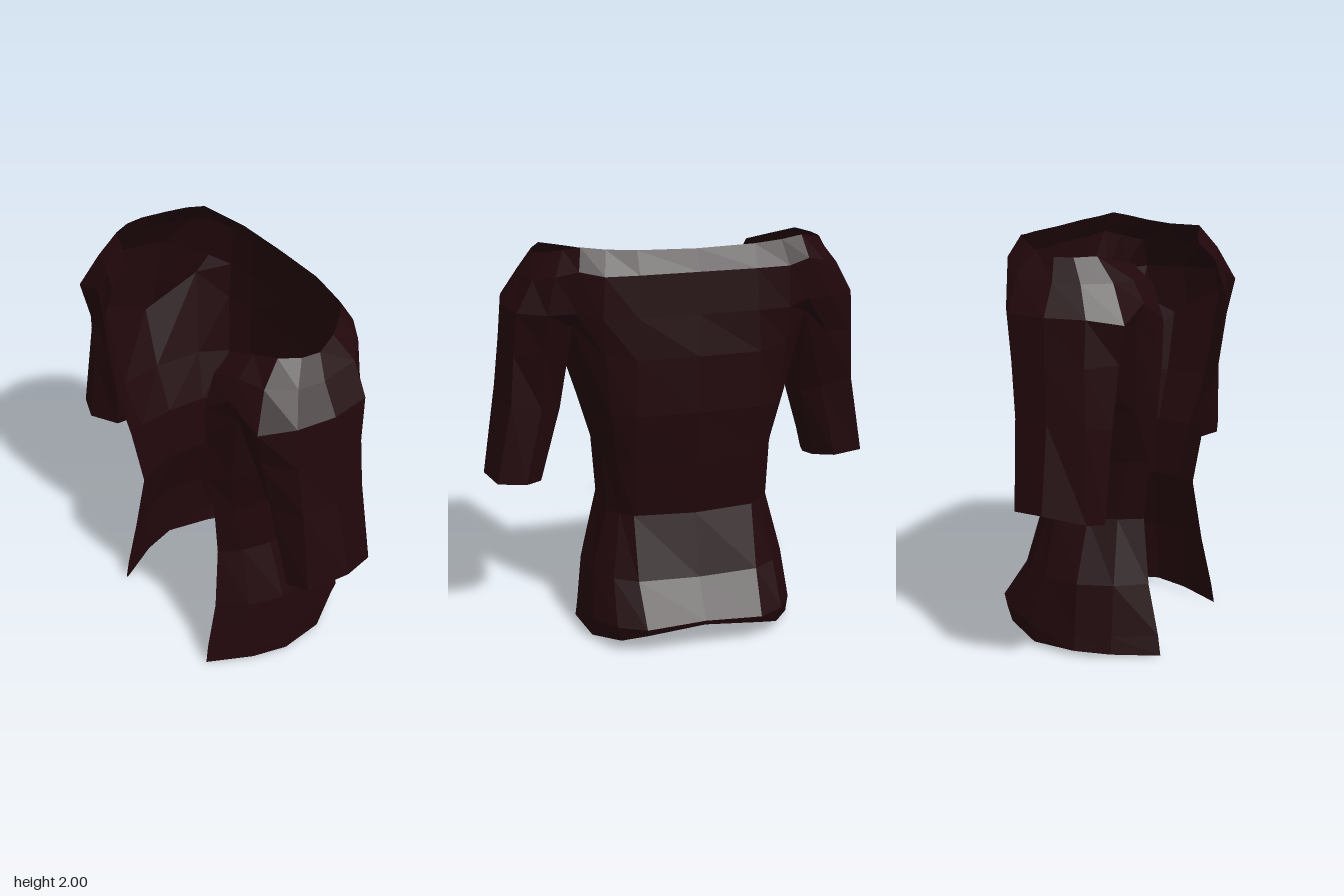
import * as THREE from 'three';

const cloth = new THREE.MeshStandardMaterial({ color: 0x21070b, flatShading: true, side: THREE.DoubleSide });

// Skin a surface over rows of points, listed from top to bottom
function loft(name, rows, closed = false) {
  const n = rows[0].length, index = [];
  for (let r = 0; r < rows.length - 1; r++) {
    for (let i = 0; i < (closed ? n : n - 1); i++) {
      const j = (i + 1) % n;
      const a = r * n + i, b = r * n + j, c = a + n, d = b + n;
      index.push(a, b, c, b, d, c);
    }
  }
  const geometry = new THREE.BufferGeometry();
  geometry.setAttribute('position', new THREE.Float32BufferAttribute(rows.flat(2), 3));
  geometry.setIndex(index);
  geometry.computeVertexNormals();
  const mesh = new THREE.Mesh(geometry, cloth);
  mesh.name = name;
  return mesh;
}

const flip = row => row.map(([x, y, z]) => [-x, y, z]).reverse();
// Half row (centre back to left front edge) to full row
const full = row => [...flip(row.slice(1)), ...row];
// Points at one height from x, z pairs
const level = (y, pairs) => pairs.map(([x, z]) => [x, y, z]);
const shift = (row, dy, dz) => row.map(([x, y, z]) => [x, y + dy, z + dz]);

export function createModel() {
  const group = new THREE.Group();
  group.name = 'openJacket';

  // Wide neckline, running from centre back over the shoulder to the front edge
  const neckline = [[0, 1.98, -0.27], [0.28, 1.985, -0.26], [0.42, 1.99, -0.23], [0.53, 2, -0.2],
    [0.6, 1.98, -0.14], [0.66, 1.955, -0.06], [0.71, 1.935, 0.05], [0.7, 1.935, 0.14],
    [0.65, 1.94, 0.23], [0.53, 1.91, 0.27], [0.42, 1.88, 0.31]];
  const shoulder = [[0, 1.88, -0.315], [0.28, 1.88, -0.315], [0.44, 1.88, -0.305], [0.55, 1.9, -0.26],
    [0.65, 1.87, -0.21], [0.74, 1.84, -0.12], [0.775, 1.83, 0.07], [0.76, 1.83, 0.2],
    [0.68, 1.83, 0.32], [0.55, 1.83, 0.36], [0.42, 1.8, 0.4]];
  const upperArm = [[0, 1.68, -0.32], [0.29, 1.68, -0.32], [0.45, 1.68, -0.3], [0.56, 1.7, -0.24],
    [0.69, 1.69, -0.2], [0.82, 1.69, -0.125], [0.86, 1.69, 0.07], [0.84, 1.69, 0.26],
    [0.745, 1.66, 0.4], [0.55, 1.73, 0.41], [0.425, 1.64, 0.455]];
  // Where the sleeves part from the body, arching up at the front and back of the arm
  const split = [[0, 1.48, -0.33], [0.3, 1.48, -0.32], [0.44, 1.5, -0.28], [0.57, 1.62, -0.17],
    [0.7, 1.5, -0.14], [0.84, 1.48, -0.1], [0.88, 1.48, 0.08], [0.86, 1.48, 0.26],
    [0.72, 1.48, 0.365], [0.56, 1.63, 0.375], [0.42, 1.48, 0.45]];
  const armpit = [0.595, 1.49, 0.12];
  group.add(loft('yokeAndShoulders', [neckline, shoulder, upperArm, split].map(full)));

  // Body, waisted and flared, open at the front
  const chest = [...split.slice(0, 4), armpit, ...split.slice(9)];
  const ribs = level(1.2, [[0, -0.32], [0.3, -0.31], [0.41, -0.26], [0.485, -0.12], [0.505, 0.12], [0.465, 0.34], [0.4, 0.42]]);
  const midriff = level(0.95, [[0, -0.29], [0.3, -0.265], [0.38, -0.21], [0.425, -0.1], [0.435, 0.1], [0.41, 0.28], [0.37, 0.37]]);
  const waist = level(0.66, [[0, -0.25], [0.3, -0.215], [0.36, -0.16], [0.41, -0.1], [0.425, 0.08], [0.395, 0.22], [0.335, 0.33]]);
  const hip = level(0.35, [[0, -0.33], [0.3, -0.31], [0.41, -0.24], [0.49, -0.12], [0.515, 0.06], [0.465, 0.23], [0.37, 0.37]]);
  const flare = [[0, 0.17, -0.455], [0.29, 0.15, -0.445], [0.42, 0.14, -0.36], [0.51, 0.12, -0.2],
    [0.54, 0.1, 0.06], [0.49, 0.1, 0.23], [0.38, 0.1, 0.425]];
  const hem = [[0, 0.145, -0.445], [0.28, 0.11, -0.425], [0.4, 0.06, -0.345], [0.51, 0.02, -0.17],
    [0.55, 0.025, 0.06], [0.5, 0.015, 0.23], [0.385, 0, 0.44]];
  // Narrow turned-under edge
  const turnedHem = hem.map(([x, y, z]) => [x * 0.985, y + 0.005, z * 0.985]);
  group.add(loft('body', [chest, ribs, midriff, waist, hip, flare, hem, turnedHem].map(full)));

  // Half-length sleeves; the right one swings a little further forward
  const sleeveTop = [...split.slice(3, 10), armpit];
  const elbow = [[0.62, 1.16, -0.02], [0.71, 1.2, -0.08], [0.86, 1.24, -0.105], [0.905, 1.24, 0.07],
    [0.89, 1.24, 0.25], [0.75, 1.2, 0.315], [0.635, 1.16, 0.25], [0.59, 1.14, 0.11]];
  const cuff = [[0.715, 0.81, -0.01], [0.8, 0.83, -0.1], [0.94, 0.85, -0.105], [0.985, 0.86, 0.05],
    [0.945, 0.83, 0.25], [0.83, 0.805, 0.285], [0.72, 0.78, 0.19], [0.7, 0.79, 0.1]];
  group.add(loft('leftSleeve', [sleeveTop, elbow, cuff], true));
  const rightSleeve = [sleeveTop, shift(elbow, -0.01, 0.03), shift(cuff, -0.025, 0.06)];
  group.add(loft('rightSleeve', rightSleeve.map(flip), true));

  return group;
}
